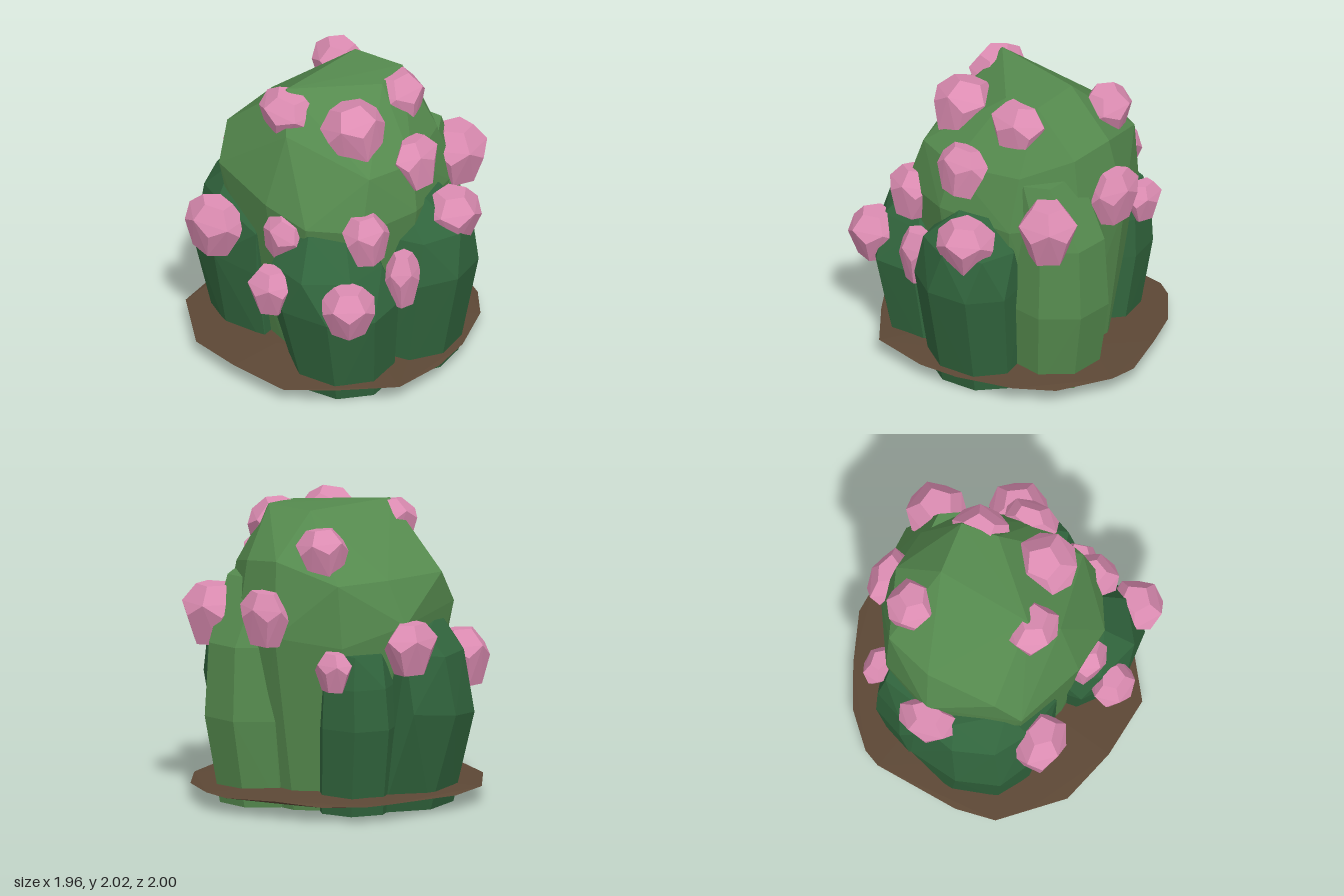
import * as THREE from 'three';
import { ConvexGeometry } from 'three/addons/geometries/ConvexGeometry.js';

const material = (name, color) => {
  const m = new THREE.MeshStandardMaterial({ color });
  m.name = name;
  return m;
};

// Faceted solid wrapped around a few points
function hull(name, points, mat) {
  const mesh = new THREE.Mesh(new ConvexGeometry(points.map(p => new THREE.Vector3(...p))), mat);
  mesh.name = name;
  return mesh;
}

// Points of stacked elliptical rings: [y, cx, cz, rx, rz, sides, turn]
function rings(list) {
  const points = [];
  for (const [y, cx, cz, rx, rz, n, turn] of list) {
    for (let i = 0; i < n; i++) {
      const a = turn + (i / n) * Math.PI * 2;
      points.push([cx + rx * Math.cos(a), y, cz + rz * Math.sin(a)]);
    }
  }
  return points;
}

export function createModel() {
  const group = new THREE.Group();
  const leaf = material('leaf green', 0x558a4e);
  const dark = material('dark green', 0x31653d);
  const pink = material('blossom pink', 0xdc8cb2);
  const soil = material('soil brown', 0x5c4735);

  // Thin irregular soil disc with a shallow bowl underneath
  const rim = [
    [0, -1], [0.2, -0.99], [0.55, -0.8], [0.74, -0.58], [0.88, -0.2], [0.91, 0.1], [0.88, 0.5],
    [0.55, 0.78], [0.27, 0.98], [-0.17, 0.95], [-0.57, 0.84], [-0.75, 0.65], [-0.93, 0.48],
    [-0.97, 0.2], [-0.93, -0.4], [-0.87, -0.52], [-0.64, -0.73], [-0.35, -0.87],
  ];
  group.add(hull('soilDisc', [
    ...rim.map(([x, z], i) => [x, 0.115 + 0.01 * Math.sin(i * 2.3), z]),
    ...rim.filter((_, i) => i % 2 === 0).map(([x, z]) => [x * 0.52, 0.006, z * 0.52]),
    ...rim.filter((_, i) => i % 3 === 0).map(([x, z]) => [x * 0.6, 0.14, z * 0.6]),
  ], soil));

  // Tall central dome, overhanging its narrower trunk
  group.add(hull('mainDome', [
    [-0.12, 2, -0.33], [0.25, 2, -0.36], [0.28, 1.99, -0.1], [-0.18, 2, 0.35],
    [-0.68, 1.57, 0.35], [-0.68, 1.58, -0.15], [-0.56, 1.57, -0.5], [-0.13, 1.7, -0.66],
    [0.18, 1.66, -0.63], [0.5, 1.58, -0.42], [0.65, 1.57, 0.05], [0.55, 1.58, 0.4], [-0.05, 1.76, 0.53],
    [-0.8, 1.28, -0.1], [-0.62, 1.34, 0.52], [-0.1, 1.28, 0.69], [0.25, 1.22, 0.71],
    [0.58, 1.22, 0.52], [0.72, 1.25, 0.1], [0.6, 1.2, -0.42], [0.2, 1.2, -0.7],
    [-0.2, 1.2, -0.74], [-0.6, 1.15, -0.5],
    ...rings([
      [0.65, -0.02, -0.05, 0.63, 0.6, 9, 0.2],
      [0, -0.02, -0.04, 0.56, 0.55, 9, 0.2],
    ]),
  ], leaf));

  // Smaller side lobes around the dome
  group.add(hull('rightLobe', [
    [-0.83, 0.002, 0.1], [-0.74, 0.002, 0.4], [-0.54, 0.002, 0.52], [-0.22, 0.002, 0.52],
    [-0.25, 0.002, -0.1], [-0.68, 0.002, -0.2],
    [-0.97, 0.65, 0.2], [-0.86, 0.62, 0.48], [-0.58, 0.68, 0.63], [-0.25, 0.62, 0.59],
    [-0.3, 0.6, -0.1], [-0.93, 0.7, -0.15],
    [-0.92, 1.05, 0.15], [-0.82, 1.05, 0.42], [-0.6, 1.08, 0.56], [-0.25, 0.95, 0.6],
    [-0.85, 1.1, -0.15], [-0.8, 1.2, 0.1], [-0.6, 1.28, 0.4], [-0.43, 1.18, 0.45], [-0.5, 1.2, 0],
  ], dark));
  group.add(hull('backRightLobe', rings([
    [0.002, -0.47, -0.26, 0.26, 0.26, 7, 0.4],
    [0.6, -0.54, -0.3, 0.29, 0.28, 7, 0.4],
    [0.88, -0.54, -0.31, 0.27, 0.26, 7, 0.4],
    [1.1, -0.55, -0.33, 0.2, 0.18, 5, 0.2],
  ]), dark));
  group.add(hull('frontLobe', rings([
    [0.002, 0.36, 0.43, 0.34, 0.33, 8, 0.3],
    [0.65, 0.33, 0.51, 0.46, 0.4, 8, 0.3],
    [0.92, 0.28, 0.51, 0.38, 0.38, 7, 0.5],
    [1.17, 0.24, 0.5, 0.22, 0.2, 5, 0.2],
  ]), dark));
  group.add(hull('leftLobe', rings([
    [0.002, 0.56, -0.09, 0.27, 0.34, 8, 0.2],
    [0.75, 0.65, -0.1, 0.33, 0.39, 8, 0.2],
    [1.05, 0.64, -0.11, 0.29, 0.34, 7, 0],
    [1.27, 0.57, -0.12, 0.13, 0.16, 4, 0.5],
  ]), dark));
  group.add(hull('backLobe', rings([
    [0.002, 0.2, -0.46, 0.31, 0.31, 8, 0.4],
    [0.6, 0.22, -0.5, 0.36, 0.38, 8, 0.4],
    [1.1, 0.22, -0.5, 0.33, 0.35, 8, 0.4],
    [1.53, 0.25, -0.49, 0.25, 0.14, 5, 0.3],
  ]), leaf));

  // Blossoms with mostly five-sided facets and a flat base: [x, y, z, rx, ry, rz, roll]
  const bud = rings([
    [-1, 0, 0, 0.65, 0.65, 5, 0],
    [0.02, 0, 0, 1.03, 1.03, 5, 0],
    [0.42, 0, 0, 1.03, 1.03, 5, Math.PI / 5],
    [1, 0, 0, 0.56, 0.56, 5, Math.PI / 5],
  ]);
  const blossoms = [
    [-0.57, 0.93, 0.64, 0.21, 0.19, 0.16, -0.12],
    [0.07, 0.77, 0.86, 0.16, 0.155, 0.14, 0],
    [0.64, 0.76, 0.75, 0.18, 0.165, 0.18, 0],
    [0.05, 1.09, 0.67, 0.16, 0.15, 0.13, -0.35],
    [0.58, 1.17, 0.47, 0.14, 0.17, 0.17, 0.15],
    [0.74, 0.82, 0.28, 0.11, 0.19, 0.13, 0],
    [-0.16, 1.83, 0.37, 0.2, 0.15, 0.17, -0.2],
    [0.31, 1.8, 0.25, 0.21, 0.19, 0.21, 0.35],
    [0.63, 1.55, -0.02, 0.12, 0.165, 0.19, 0.25],
    [0.31, 1.82, -0.24, 0.17, 0.18, 0.2, 0.2],
    [0.79, 1.11, -0.2, 0.19, 0.17, 0.2, 0],
    [0.48, 1.26, -0.66, 0.2, 0.2, 0.2, 0],
    [-0.1, 1.32, -0.74, 0.2, 0.18, 0.11, 0],
    [-0.58, 1.0, -0.56, 0.14, 0.13, 0.1, 0],
    [-0.35, 1.76, -0.44, 0.18, 0.16, 0.16, -0.15],
    [-0.83, 1.13, -0.08, 0.14, 0.17, 0.2, 0],
  ];
  blossoms.forEach(([x, y, z, rx, ry, rz, roll], i) => {
    const turn = i * 1.7;
    const c = Math.cos(turn), s = Math.sin(turn);
    const points = bud.map(([px, py, pz]) => [(px * c - pz * s) * rx, py * ry, (px * s + pz * c) * rz]);
    const blossom = hull('blossom' + (i + 1), points, pink);
    blossom.position.set(x, y, z);
    blossom.rotation.z = roll;
    group.add(blossom);
  });

  return group;
}
